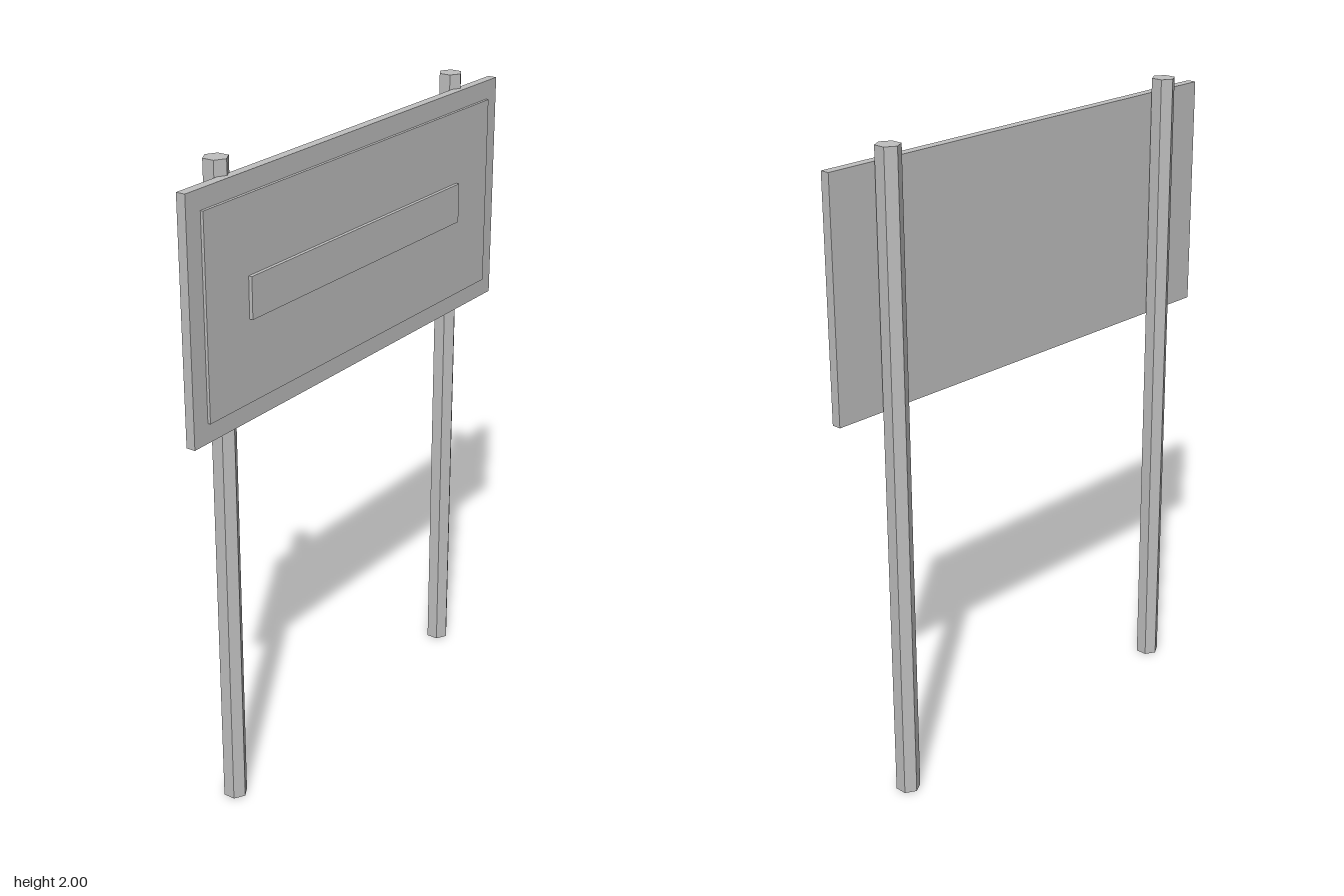
import * as THREE from 'three';

export function createModel() {
  const model = new THREE.Group();
  model.name = 'signboard';
  const grey = new THREE.MeshStandardMaterial({ color: 0xc0c0c0, flatShading: true });
  grey.name = 'light grey';

  // Box spanning the given height and depth, centred on x = 0
  const addPlate = (name, width, y0, y1, z0, z1) => {
    const plate = new THREE.Mesh(new THREE.BoxGeometry(width, y1 - y0, z1 - z0), grey);
    plate.position.set(0, (y0 + y1) / 2, (z0 + z1) / 2);
    plate.name = name;
    model.add(plate);
  };

  // Board with a raised face panel and a raised centre bar
  addPlate('board', 1.522, 1.241, 1.955, 0.005, 0.034);
  addPlate('facePanel', 1.406, 1.3, 1.897, 0.034, 0.043);
  addPlate('centreBar', 1.046, 1.546, 1.67, 0.043, 0.054);

  // Six-sided posts behind the board, corners pointing front and back
  const postGeometry = new THREE.CylinderGeometry(0.037, 0.037, 2, 6);
  for (const [name, side] of [['leftPost', 1], ['rightPost', -1]]) {
    const post = new THREE.Mesh(postGeometry, grey);
    post.position.set(side * 0.572, 1, -0.018);
    post.name = name;
    model.add(post);
  }
  return model;
}
